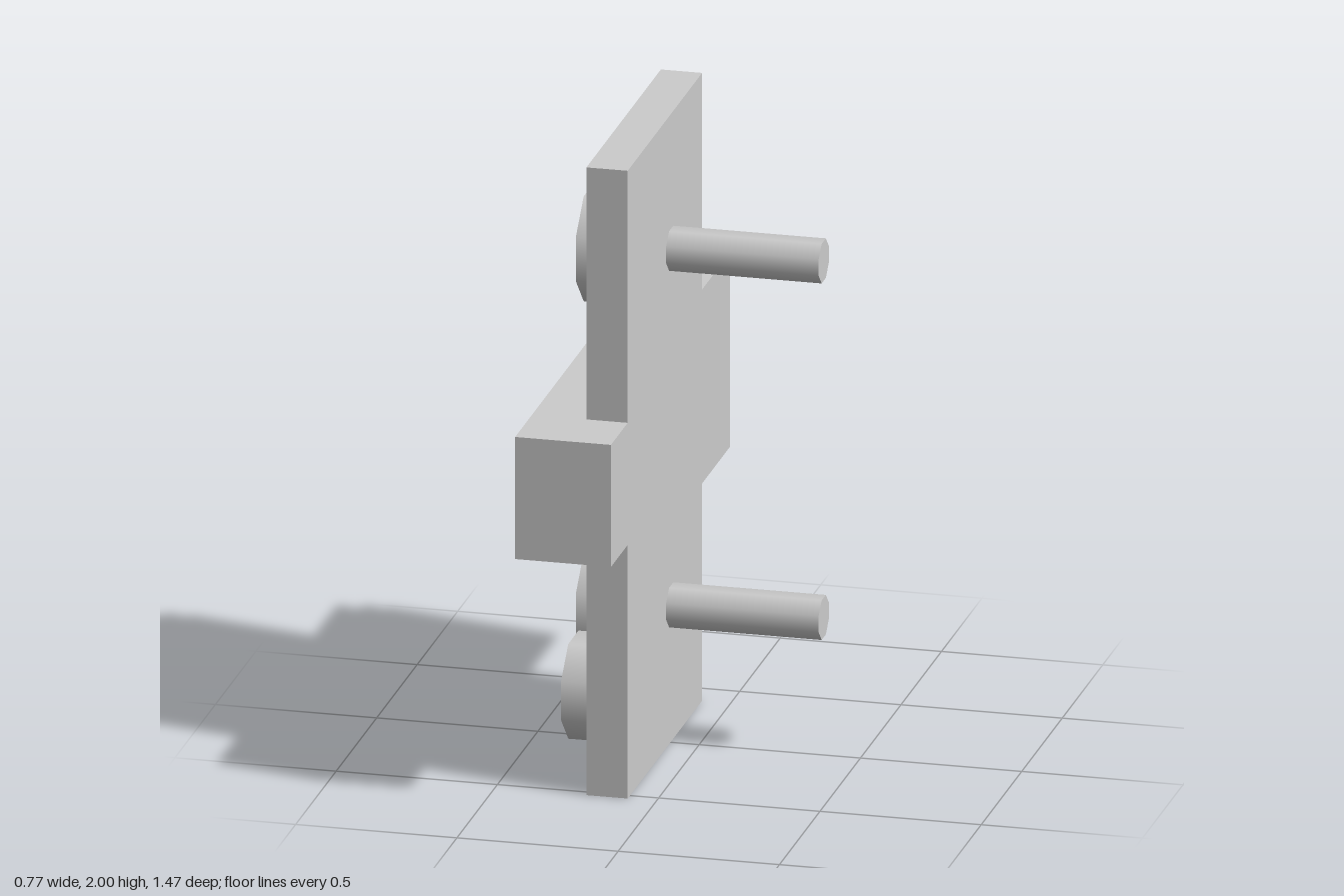
import * as THREE from 'three';

const material = new THREE.MeshStandardMaterial({ color: 0xcccccc });

export function createModel() {
  const model = new THREE.Group();
  model.name = 'mountingPlate';

  function add(name, geometry) {
    const mesh = new THREE.Mesh(geometry, material);
    mesh.name = name;
    model.add(mesh);
    return mesh;
  }

  // Eight-sided cylinder along x, flats facing up and sideways; flatRadius is centre to flat
  function rod(name, x0, x1, y, z, flatRadius) {
    const r = flatRadius / Math.cos(Math.PI / 8);
    const geometry = new THREE.CylinderGeometry(r, r, x1 - x0, 8, 1, false, Math.PI / 8);
    geometry.rotateZ(Math.PI / 2);
    add(name, geometry).position.set((x0 + x1) / 2, y, z);
  }

  const back = -0.217, face = -0.089;

  // Plate with a wide tab on one edge and a narrow one on the other, outlined in (z, y)
  const outline = [
    [-0.391, 0], [0.528, 0], [0.528, 0.808], [0.735, 0.808], [0.735, 1.197], [0.528, 1.197],
    [0.528, 2], [-0.391, 2], [-0.391, 1.31], [-0.735, 1.31], [-0.735, 0.692], [-0.391, 0.692],
  ];
  const shape = new THREE.Shape(outline.map(([z, y]) => new THREE.Vector2(-z, y)));
  const plate = new THREE.ExtrudeGeometry(shape, { depth: face - back, bevelEnabled: false });
  plate.rotateY(Math.PI / 2);
  add('plate', plate).position.x = back;

  // Crossbar running the full depth behind the plate
  const barX = -0.386;
  add('crossbar', new THREE.BoxGeometry(back - barX, 0.389, 1.47))
    .position.set((barX + back) / 2, 1.0025, 0);

  // Two bolts: thin pin on one side, wide head on the other
  for (const y of [0.435, 1.571]) {
    rod('pin', face, 0.384, y, -0.009, 0.063);
    rod('boltHead', -0.343, back, y, -0.009, 0.167);
  }

  // Extra lower knob
  rod('knob', -0.306, back, 0.279, 0.335, 0.151);

  return model;
}
